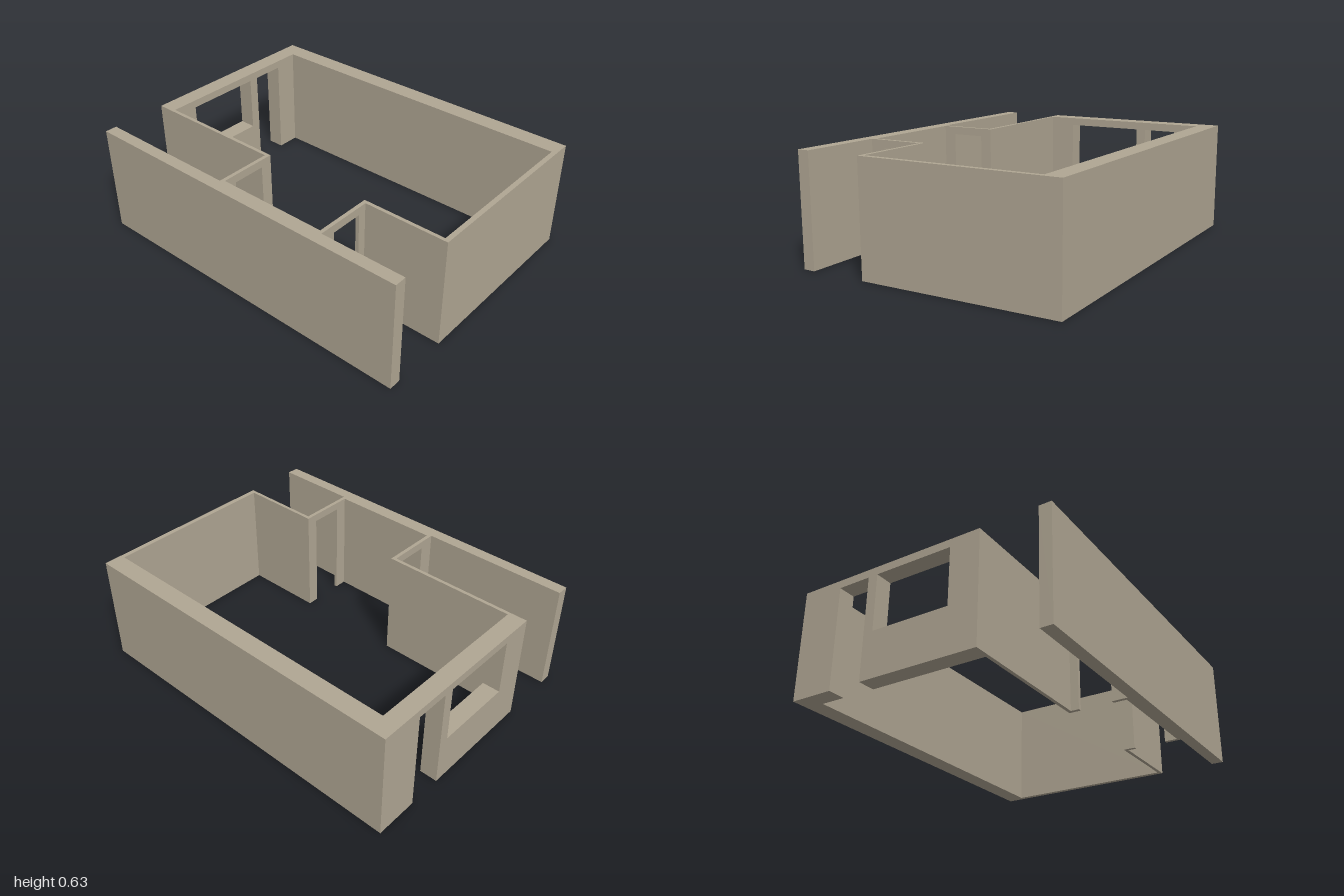
import * as THREE from 'three';

const H = 0.627;       // wall height
const DOOR_TOP = 0.582; // underside of every lintel

export function createModel() {
  const model = new THREE.Group();
  const plaster = new THREE.MeshStandardMaterial({ color: 0xb0a693 });
  plaster.name = 'beige plaster';

  const add = (name, geometry) => {
    const mesh = new THREE.Mesh(geometry, plaster);
    mesh.name = name;
    model.add(mesh);
    return mesh;
  };
  const outline = (points) => new THREE.Shape(points.map(([a, b]) => new THREE.Vector2(a, b)));

  // Solid wall raised from a floor plan given as [x, z] corners
  const planWall = (name, plan) => {
    const shape = outline(plan.map(([x, z]) => [x, -z]));
    const geometry = new THREE.ExtrudeGeometry(shape, { depth: H, bevelEnabled: false });
    add(name, geometry.rotateX(-Math.PI / 2));
  };

  // Wall across x, from an elevation with doors [x0, x1] and an optional window
  const crossWall = (name, x0, x1, z0, z1, door, window) => {
    const [d0, d1] = door;
    const shape = outline([
      [x0, 0], [d0, 0], [d0, DOOR_TOP], [d1, DOOR_TOP], [d1, 0], [x1, 0], [x1, H], [x0, H],
    ]);
    if (window) {
      const [w0, w1, sill] = window;
      shape.holes.push(outline([[w0, sill], [w0, DOOR_TOP], [w1, DOOR_TOP], [w1, sill]]));
    }
    const geometry = new THREE.ExtrudeGeometry(shape, { depth: z1 - z0, bevelEnabled: false });
    add(name, geometry.translate(0, 0, z0));
  };

  // Long free-standing wall, slightly thinner between the two partitions
  planWall('corridorWall', [
    [-0.755, 1], [-0.687, 1], [-0.687, 0.51], [-0.672, 0.51],
    [-0.672, -0.148], [-0.687, -0.148], [-0.687, -1], [-0.755, -1],
  ]);

  // Thick side wall, front wall and the short inner return
  planWall('outerWalls', [
    [0.755, -1], [0.755, 1], [-0.365, 1], [-0.365, 0.5], [-0.345, 0.5],
    [-0.345, 0.972], [0.65, 0.972], [0.65, -1],
  ]);

  // Thin inner wall behind the recess
  planWall('innerWall', [
    [-0.365, -0.9], [-0.345, -0.9], [-0.345, -0.137], [-0.365, -0.137],
  ]);

  // Back wall with a doorway and a window
  crossWall('backWall', -0.365, 0.65, -1, -0.9, [0.317, 0.51], [-0.194, 0.26, 0.26]);

  // Partitions with doorways on either side of the recess
  crossWall('rearPartition', -0.687, -0.365, -0.158, -0.137, [-0.6, -0.412]);
  crossWall('frontPartition', -0.687, -0.365, 0.5, 0.521, [-0.6, -0.412]);

  return model;
}
